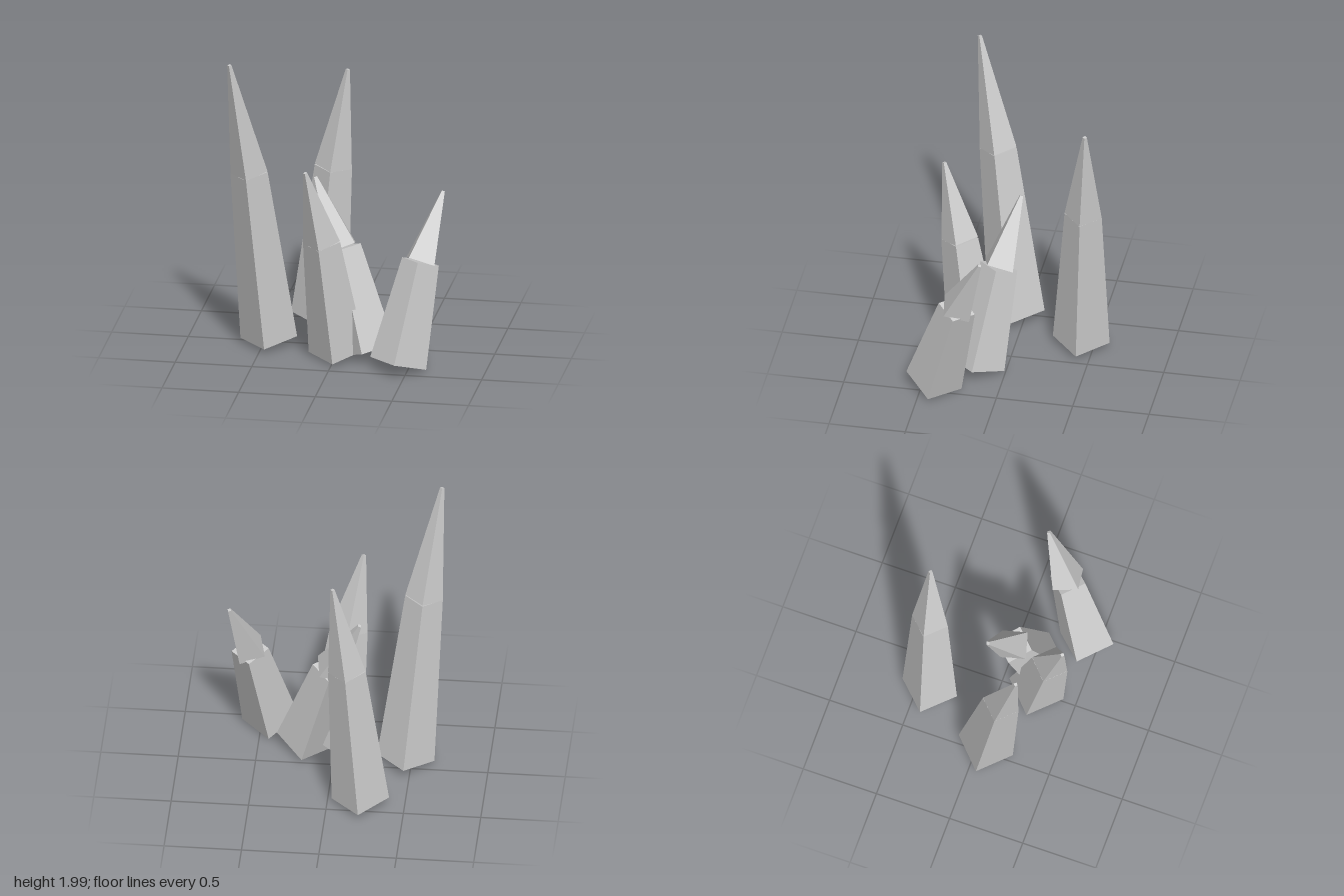
import * as THREE from 'three';

const UP = new THREE.Vector3(0, 1, 0);

// Four-sided tapered bar running from point a to point b, twisted about its axis
function taperedBar(name, a, b, rBottom, rTop, twist, material) {
  const start = new THREE.Vector3(...a);
  const end = new THREE.Vector3(...b);
  const axis = end.clone().sub(start);
  const geometry = new THREE.CylinderGeometry(rTop, rBottom, axis.length(), 4);
  geometry.rotateY(twist);
  const mesh = new THREE.Mesh(geometry, material);
  mesh.name = name;
  mesh.quaternion.setFromUnitVectors(UP, axis.normalize());
  mesh.position.copy(start).add(end).multiplyScalar(0.5);
  return mesh;
}

// Centres of each crystal's base, shoulder and point
const CRYSTALS = [
  { name: 'tallLeftCrystal', base: [-0.465, 0.055, 0.055], shoulder: [-0.57, 1.22, 0.195], point: [-0.675, 1.996, 0.335], twist: 0 },
  { name: 'backCrystal', base: [-0.215, 0.052, -0.418], shoulder: [-0.13, 1.06, -0.447], point: [-0.04, 1.722, -0.475], twist: 0 },
  { name: 'frontCrystal', base: [0.01, 0.05, 0.23], shoulder: [-0.07, 0.825, 0.35], point: [-0.157, 1.338, 0.468], twist: 0 },
  { name: 'middleCrystal', base: [0.2, 0.055, 0.188], shoulder: [0.02, 0.705, 0.075], point: [-0.175, 1.135, -0.035], twist: -0.58 },
  { name: 'rightCrystal', base: [0.442, 0.057, 0.42], shoulder: [0.558, 0.7, 0.248], point: [0.677, 1.128, 0.075], twist: -0.58 },
];

export function createModel() {
  const model = new THREE.Group();
  model.name = 'crystalCluster';
  const material = new THREE.MeshStandardMaterial({ color: 0xcccccc, flatShading: true });

  for (const { name, base, shoulder, point, twist } of CRYSTALS) {
    const crystal = new THREE.Group();
    crystal.name = name;
    crystal.add(
      taperedBar('shaft', base, shoulder, 0.186, 0.122, 0, material),
      taperedBar('tip', shoulder, point, 0.122, 0.014, twist, material),
    );
    model.add(crystal);
  }
  return model;
}
